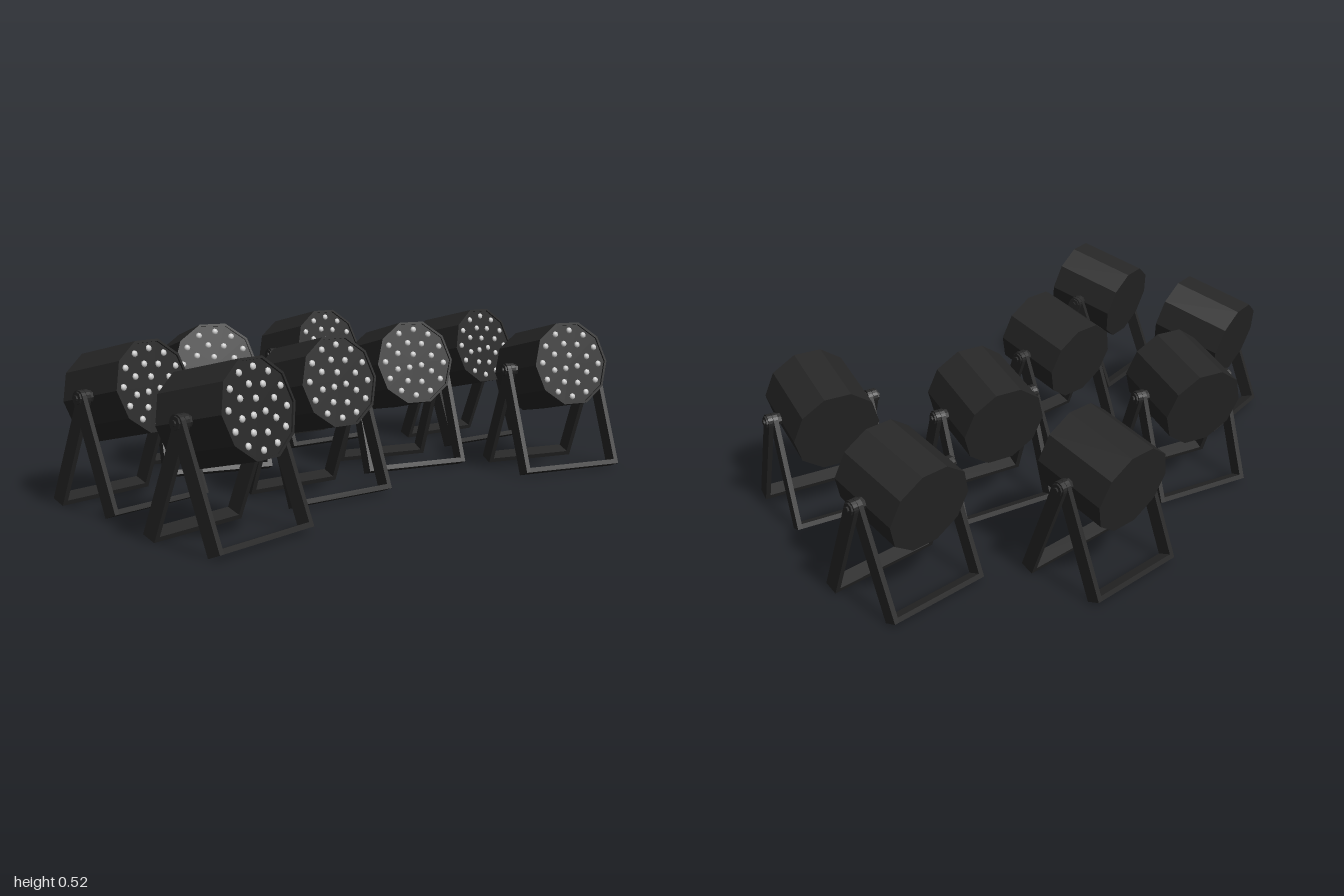
import * as THREE from 'three';
import { mergeGeometries } from 'three/addons/utils/BufferGeometryUtils.js';

const PIVOT_Y = 0.355, CAN_R = 0.148, CAN_HALF = 0.131;
const TILT = THREE.MathUtils.degToRad(13);
const SPLAY = THREE.MathUtils.degToRad(21.5);
const LEG = 0.37, BAR_W = 0.048, BAR_T = 0.016;

const black = new THREE.MeshStandardMaterial({ color: 0x262626, flatShading: true });
const ledGrey = new THREE.MeshStandardMaterial({ color: 0xcccccc });

function part(name, geometry, material = black) {
  const mesh = new THREE.Mesh(geometry, material);
  mesh.name = name;
  return mesh;
}

// Ten-sided housing with a thin rim around a recessed front plate, facing +x
function housingGeometry() {
  const inner = CAN_R - 0.008, plate = CAN_HALF - 0.006;
  const profile = [
    [0, -CAN_HALF], [CAN_R, -CAN_HALF], [CAN_R, CAN_HALF],
    [inner, CAN_HALF], [inner, plate], [0, plate],
  ].map(([r, y]) => new THREE.Vector2(r, y));
  return new THREE.LatheGeometry(profile, 10).rotateZ(-Math.PI / 2);
}

// Concentric rings of small domed lights on the front plate
function ledGeometry() {
  const domes = [];
  for (const [count, radius] of [[3, 0.028], [8, 0.072], [12, 0.115]]) {
    for (let i = 0; i < count; i++) {
      const a = (i / count) * Math.PI * 2 + radius * 4;
      const dome = new THREE.SphereGeometry(0.011, 8, 4, 0, Math.PI * 2, 0, Math.PI / 2);
      dome.scale(1, 0.7, 1).rotateZ(-Math.PI / 2);
      dome.translate(CAN_HALF - 0.006, Math.cos(a) * radius, Math.sin(a) * radius);
      domes.push(dome);
    }
  }
  return mergeGeometries(domes);
}

// U-shaped yoke: two flat legs with rounded tops, joined by a floor bar
function yokeGeometry(halfWidth) {
  const w = BAR_W / 2;
  const outline = new THREE.Shape();
  outline.moveTo(-w, -LEG);
  outline.lineTo(w, -LEG);
  outline.lineTo(w, 0);
  outline.absarc(0, 0, w, 0, Math.PI, false);
  outline.closePath();
  const pieces = [-1, 1].map((side) =>
    new THREE.ExtrudeGeometry(outline, { depth: BAR_T, bevelEnabled: false, curveSegments: 4 })
      .translate(0, 0, side * halfWidth - BAR_T / 2));
  const floorBar = new THREE.BoxGeometry(BAR_W, BAR_T, halfWidth * 2 - BAR_T)
    .translate(0, -LEG + BAR_T / 2, 0);
  pieces.push(floorBar.toNonIndexed());
  return mergeGeometries(pieces);
}

// Pivot bolts: axle, inner washer and outer knob on both sides
function pivotGeometry() {
  const pieces = [];
  for (const side of [-1, 1]) {
    for (const [radius, from, to] of [[0.009, 0.12, 0.204], [0.02, 0.146, 0.158], [0.02, 0.188, 0.198]]) {
      pieces.push(new THREE.CylinderGeometry(radius, radius, to - from, 8)
        .rotateX(Math.PI / 2)
        .translate(0, 0, side * (from + to) / 2));
    }
  }
  return mergeGeometries(pieces);
}

export function createModel() {
  const model = new THREE.Group();
  model.name = 'stageLights';
  const housing = housingGeometry(), leds = ledGeometry(), pivots = pivotGeometry();
  const innerYoke = yokeGeometry(0.167), outerYoke = yokeGeometry(0.184);

  // Floor layout: x, z, turn in degrees
  const layout = [
    [-0.18, -0.797, 0], [0.40, -0.67, -14], [-0.525, -0.297, 0], [0.04, -0.265, -13],
    [-0.335, 0.31, -15.5], [0.228, 0.257, 0], [-0.053, 0.78, 11], [0.49, 0.775, 12],
  ];
  for (const [x, z, turn] of layout) {
    const light = new THREE.Group();
    light.name = 'stageLight';
    light.position.set(x, PIVOT_Y, z);
    light.rotation.y = THREE.MathUtils.degToRad(turn);

    // Tilted lamp head
    const head = new THREE.Group();
    head.name = 'lampHead';
    head.rotation.z = TILT;
    head.add(part('housing', housing), part('lightDots', leds, ledGrey));

    // Splayed stand, one yoke nested inside the other
    const rear = part('rearYoke', innerYoke);
    rear.rotation.z = -SPLAY;
    const front = part('frontYoke', outerYoke);
    front.rotation.z = SPLAY;

    light.add(head, rear, front, part('pivotBolts', pivots));
    model.add(light);
  }
  return model;
}
